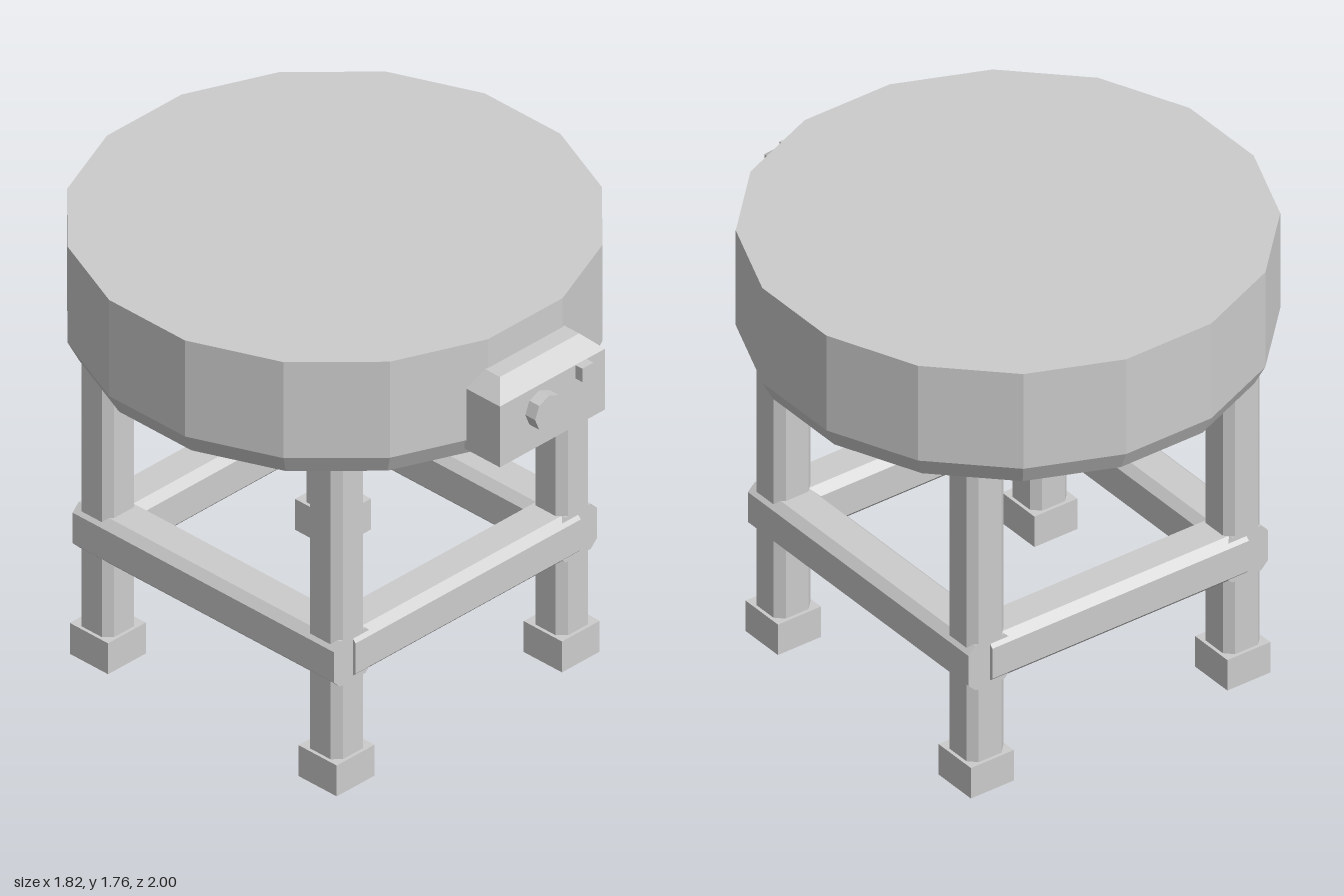
import * as THREE from 'three';

export function createModel() {
  const model = new THREE.Group();
  const grey = new THREE.MeshStandardMaterial({ color: 0xcccccc, flatShading: true });
  grey.name = 'light grey';
  const midZ = -0.087; // centre of the drum and frame
  const spread = 0.546; // leg offset from the centre

  const add = (name, geometry, x, y, z) => {
    const mesh = new THREE.Mesh(geometry, grey);
    mesh.name = name;
    mesh.position.set(x, y, z);
    model.add(mesh);
    return mesh;
  };

  // Square bar with chamfered long edges, centred, running along z
  const bar = (size, length, c = 0.03) => {
    const h = size / 2, k = h - c;
    const shape = new THREE.Shape([
      [h, -k], [h, k], [k, h], [-k, h], [-h, k], [-h, -k], [-k, -h], [k, -h],
    ].map(([x, y]) => new THREE.Vector2(x, y)));
    return new THREE.ExtrudeGeometry(shape, { depth: length, bevelEnabled: false })
      .translate(0, 0, -length / 2);
  };

  // Sixteen-sided drum with a chamfered lower rim, flats facing the axes
  const k = 1 / Math.cos(Math.PI / 16);
  const profile = [[0, 1.298], [0.87 * k, 1.298], [0.91 * k, 1.376], [0.91 * k, 1.765], [0, 1.765]]
    .map(([r, y]) => new THREE.Vector2(r, y));
  add('drum', new THREE.LatheGeometry(profile, 16, Math.PI / 16), 0, 0, midZ);

  // Legs and feet
  const legGeometry = bar(0.157, 1.29).rotateX(Math.PI / 2);
  const footGeometry = new THREE.BoxGeometry(0.183, 0.125, 0.183);
  for (const sx of [-1, 1]) {
    for (const sz of [-1, 1]) {
      const name = (sz > 0 ? 'front' : 'back') + (sx > 0 ? 'Left' : 'Right');
      const x = sx * spread, z = midZ + sz * spread;
      add(name + 'Leg', legGeometry, x, 0.655, z);
      add(name + 'Foot', footGeometry, x, 0.0625, z);
    }
  }

  // Rails: the side pair ends flush with the legs, the others end at leg centres
  const sideRail = bar(0.183, 2 * spread + 0.157);
  const crossRail = bar(0.183, 2 * spread).rotateY(Math.PI / 2);
  for (const s of [-1, 1]) {
    add(s > 0 ? 'leftRail' : 'rightRail', sideRail, s * spread, 0.516, midZ);
    add(s > 0 ? 'frontRail' : 'backRail', crossRail, 0, 0.516, midZ + s * spread);
  }

  // Control box with sloped upper front and sides
  const box = new THREE.BoxGeometry(0.51, 0.31, 0.168, 1, 2, 1);
  const p = box.attributes.position;
  for (let i = 0; i < p.count; i++) {
    const level = Math.round(p.getY(i) / 0.155); // -1 bottom, 0 shoulder, 1 top
    p.setY(i, [1.339, 1.585, 1.648][level + 1]);
    if (level === 1) {
      p.setX(i, Math.sign(p.getX(i)) * 0.192);
      if (p.getZ(i) > 0) p.setZ(i, 0.022);
    }
  }
  add('controlBox', box, 0, 0, 0.869);

  // Knob and button on the control box
  add('knob', new THREE.CylinderGeometry(0.068, 0.068, 0.07, 8).rotateX(Math.PI / 2), -0.064, 1.495, 0.965);
  add('button', new THREE.BoxGeometry(0.054, 0.054, 0.06), 0.139, 1.557, 0.955);

  return model;
}
